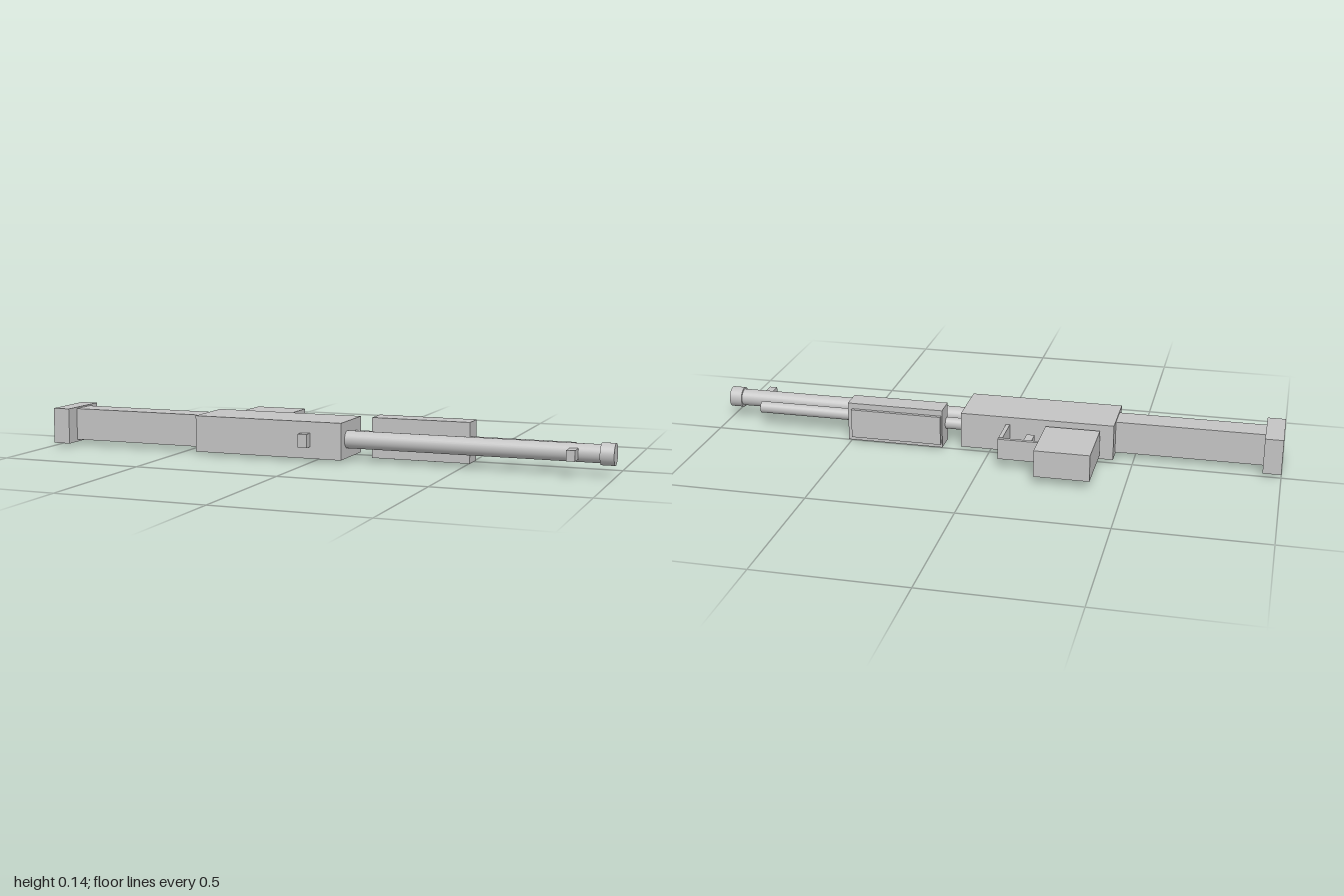
import * as THREE from 'three';

export function createModel() {
  const model = new THREE.Group();
  model.name = 'pumpGunOnItsSide';
  const grey = new THREE.MeshStandardMaterial({ color: 0xc4c4c4 });
  grey.name = 'lightGrey';

  // Box given by its extents on each axis
  const box = (name, [x0, x1], [y0, y1], [z0, z1]) => {
    const mesh = new THREE.Mesh(new THREE.BoxGeometry(x1 - x0, y1 - y0, z1 - z0), grey);
    mesh.position.set((x0 + x1) / 2, (y0 + y1) / 2, (z0 + z1) / 2);
    mesh.name = name;
    model.add(mesh);
  };

  // Smooth rod running along x
  const rod = (name, [x0, x1], r, z) => {
    const mesh = new THREE.Mesh(new THREE.CylinderGeometry(r, r, x1 - x0, 32), grey);
    mesh.rotation.z = -Math.PI / 2;
    mesh.position.set((x0 + x1) / 2, 0.073, z);
    mesh.name = name;
    model.add(mesh);
  };

  // Stock and receiver
  box('buttPlate', [-1, -0.938], [0.01, 0.135], [0.003, 0.198]);
  box('stock', [-0.94, -0.433], [0.018, 0.13], [0.053, 0.144]);
  box('receiver', [-0.433, 0.102], [0.01, 0.135], [0.003, 0.198]);
  box('loadingPort', [-0.132, 0.035], [0, 0.018], [0.062, 0.139]);
  box('rearSight', [-0.041, -0.009], [0.05, 0.096], [0.19, 0.229]);

  // Barrel and magazine tube
  rod('barrel', [0.09, 0.99], 0.03, 0.135);
  rod('muzzle', [0.955, 1], 0.036, 0.135);
  rod('magazineTube', [0.09, 0.857], 0.0205, 0.056);
  box('frontSight', [0.858, 0.886], [0.055, 0.09], [0.155, 0.213]);

  // Sliding fore-end with a raised outer panel and ribs underneath
  box('foreEnd', [0.167, 0.509], [0.004, 0.142], [-0.007, 0.072]);
  box('foreEndPanel', [0.17, 0.493], [0.02, 0.123], [-0.0225, -0.01]);
  for (const x of [0.237, 0.315, 0.392])
    box('foreEndRib', [x - 0.012, x + 0.012], [0.001, 0.006], [0.009, 0.056]);

  // Grip, trigger and guard
  box('grip', [-0.388, -0.2], [0.026, 0.119], [-0.227, -0.012]);
  box('guardBar', [-0.2, -0.058], [0.036, 0.108], [-0.132, -0.119]);
  box('guardPost', [-0.072, -0.058], [0.036, 0.108], [-0.116, 0.003]);
  box('trigger', [-0.166, -0.138], [0.054, 0.092], [-0.105, -0.032]);

  return model;
}
